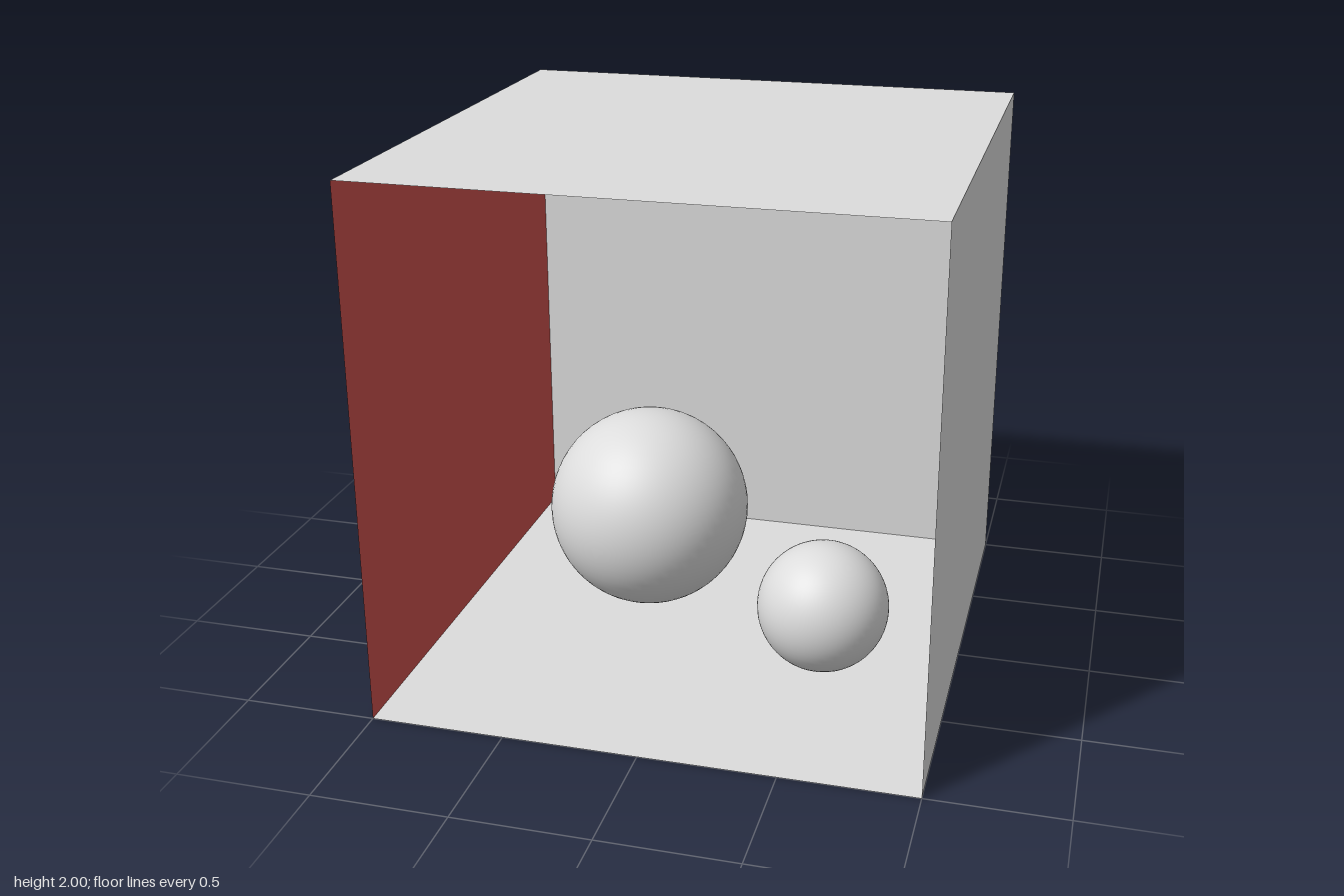
import * as THREE from 'three';

export function createModel() {
  const group = new THREE.Group();
  group.name = 'openRoom';

  const grey = new THREE.MeshStandardMaterial({ color: 0xdcdcdc, side: THREE.DoubleSide });
  grey.name = 'light grey';
  const red = new THREE.MeshStandardMaterial({ color: 0xc9504c, side: THREE.DoubleSide });
  red.name = 'brick red';

  // Thin room panels, turned to face into the room; the front stays open
  const panel = new THREE.PlaneGeometry(2, 2);
  const addPanel = (name, material, position, rx, ry) => {
    const mesh = new THREE.Mesh(panel, material);
    mesh.name = name;
    mesh.position.set(...position);
    mesh.rotation.set(rx, ry, 0);
    group.add(mesh);
  };
  const q = Math.PI / 2;
  addPanel('floor', grey, [0, 0, 0], -q, 0);
  addPanel('ceiling', grey, [0, 2, 0], q, 0);
  addPanel('backWall', grey, [0, 1, -1], 0, 0);
  addPanel('leftWall', grey, [1, 1, 0], 0, -q);
  addPanel('rightWall', red, [-1, 1, 0], 0, q);

  // Two balls resting on the floor
  const addBall = (name, radius, x, z) => {
    const mesh = new THREE.Mesh(new THREE.SphereGeometry(radius, 64, 32), grey);
    mesh.name = name;
    mesh.position.set(x, radius, z);
    group.add(mesh);
  };
  addBall('largeBall', 0.4, -0.3, -0.2);
  addBall('smallBall', 0.25, 0.5, 0.2);

  return group;
}
